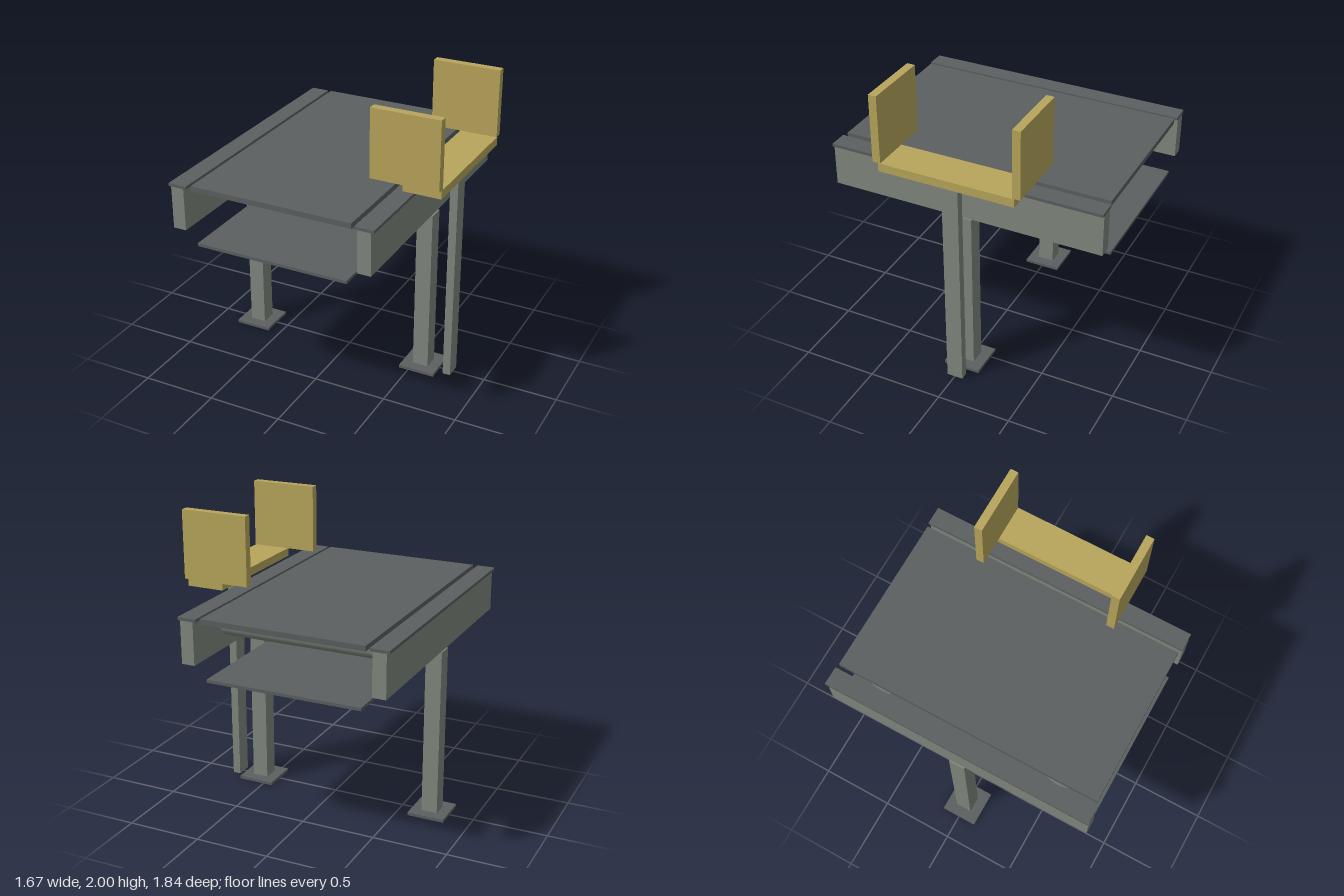
import * as THREE from 'three';

export function createModel() {
  const model = new THREE.Group();
  model.name = 'conveyorTable';

  const material = (name, color) => {
    const m = new THREE.MeshStandardMaterial({ color });
    m.name = name;
    return m;
  };
  const darkGrey = material('dark grey', 0x5b5f60);
  const steel = material('steel grey', 0x80867e);
  const ochre = material('ochre', 0xb8a55b);

  // Box given by its extents on each axis
  const box = (name, mat, [x0, x1], [y0, y1], [z0, z1]) => {
    const mesh = new THREE.Mesh(new THREE.BoxGeometry(x1 - x0, y1 - y0, z1 - z0), mat);
    mesh.position.set((x0 + x1) / 2, (y0 + y1) / 2, (z0 + z1) / 2);
    mesh.name = name;
    model.add(mesh);
  };
  const around = (c, half) => [c - half, c + half];

  // Two side frames: foot, column, long beam and cap strip
  for (const [side, x] of [['right', -0.71], ['left', 0.56]]) {
    box(side + 'Foot', darkGrey, around(x, 0.125), [0, 0.02], [-0.125, 0.125]);
    box(side + 'Column', steel, around(x, 0.054), [0.002, 1.15], [-0.055, 0.055]);
    box(side + 'Beam', steel, around(x, 0.044), [1.15, 1.43], [-0.92, 0.92]);
    box(side + 'CapStrip', darkGrey, around(x, 0.062), [1.43, 1.45], [-0.92, 0.92]);
  }

  // Moving surface and the shelf below it
  box('belt', darkGrey, [-0.62, 0.47], [1.42, 1.455], [-0.91, 0.905]);
  box('lowerShelf', darkGrey, [-0.595, 0.44], [1.05, 1.07], [-0.91, 0.905]);

  // Rollers carrying the belt
  for (const z of [-0.63, 0.63]) {
    const roller = new THREE.Mesh(new THREE.CylinderGeometry(0.072, 0.072, 1.05, 32), steel);
    roller.rotation.z = Math.PI / 2;
    roller.position.set(-0.075, 1.349, z);
    roller.name = 'roller';
    model.add(roller);
  }

  // Outer post with the tray and its two upright panels
  box('trayPost', steel, [0.725, 0.778], [0, 1.457], [-0.055, 0.055]);
  box('trayBase', ochre, [0.58, 0.832], [1.49, 1.546], [-0.453, 0.453]);
  for (const z of [-0.465, 0.463]) {
    box('trayPanel', ochre, [0.38, 0.832], [1.548, 2], around(z, 0.027));
  }

  return model;
}
